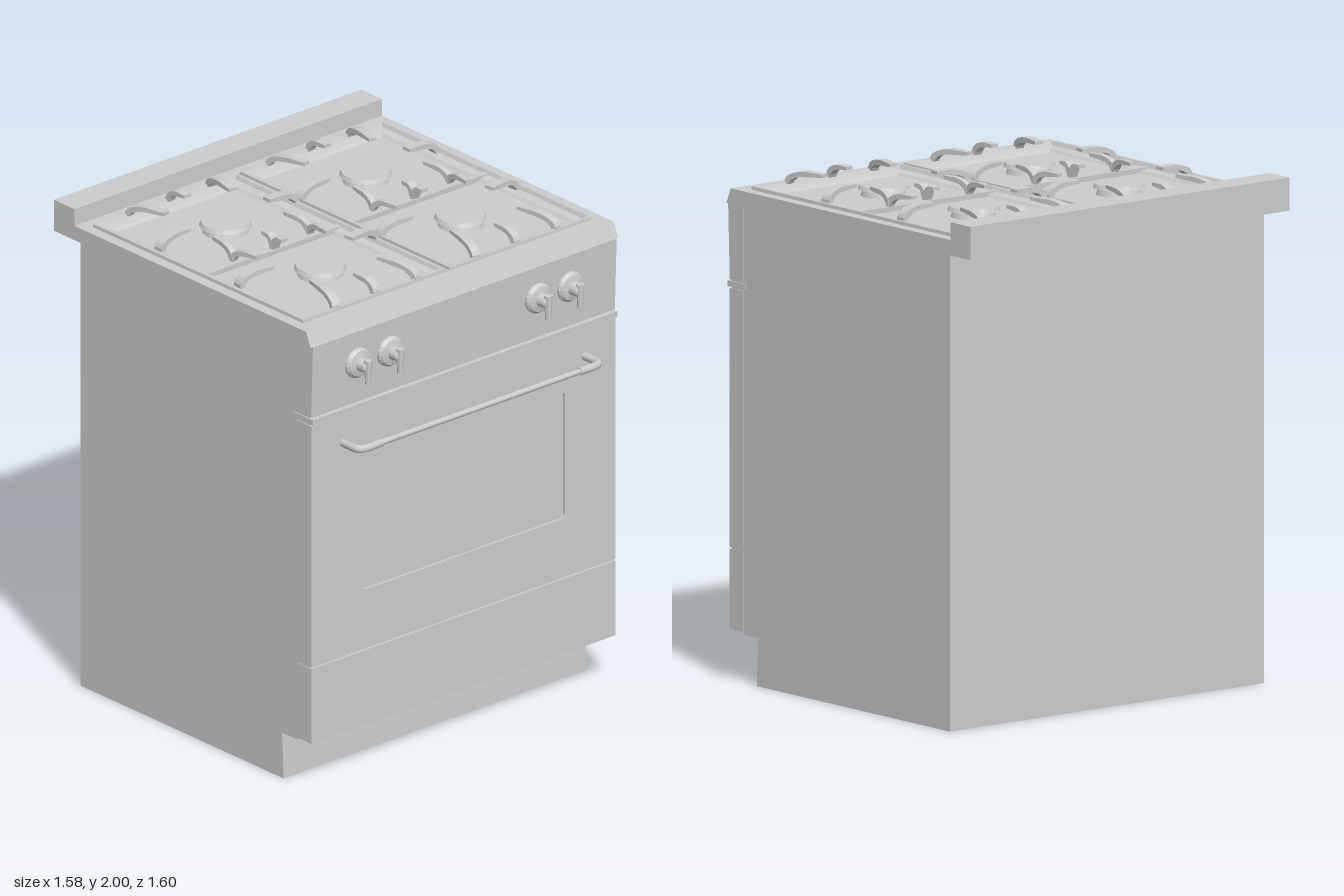
import * as THREE from 'three';

const grey = new THREE.MeshStandardMaterial({ color: 0xcccccc, flatShading: true });
const smooth = new THREE.MeshStandardMaterial({ color: 0xcccccc });
const V = (x, y, z) => new THREE.Vector3(x, y, z);

function add(parent, name, geometry, x = 0, y = 0, z = 0, material = grey) {
  const mesh = new THREE.Mesh(geometry, material);
  mesh.name = name;
  mesh.position.set(x, y, z);
  parent.add(mesh);
  return mesh;
}

// Box given by its limits
function span(parent, name, x0, x1, y0, y1, z0, z1) {
  return add(parent, name, new THREE.BoxGeometry(x1 - x0, y1 - y0, z1 - z0),
    (x0 + x1) / 2, (y0 + y1) / 2, (z0 + z1) / 2);
}

// Side profile in (z, y), extruded across the width
function profile(points, width) {
  const shape = new THREE.Shape(points.map(([z, y]) => new THREE.Vector2(z, y)));
  return new THREE.ExtrudeGeometry(shape, { depth: width, bevelEnabled: false })
    .rotateY(-Math.PI / 2).translate(width / 2, 0, 0);
}

function rect(Type, x0, x1, y0, y1, r = 0.001) {
  const s = new Type();
  s.moveTo(x0 + r, y0);
  s.lineTo(x1 - r, y0).quadraticCurveTo(x1, y0, x1, y0 + r);
  s.lineTo(x1, y1 - r).quadraticCurveTo(x1, y1, x1 - r, y1);
  s.lineTo(x0 + r, y1).quadraticCurveTo(x0, y1, x0, y1 - r);
  s.lineTo(x0, y0 + r).quadraticCurveTo(x0, y0, x0 + r, y0);
  return s;
}

// Sunken basin lofted through nested rectangles [inset, height]
function basin(x0, x1, z0, z1, rings) {
  const pos = [], idx = [];
  for (const [i, y] of rings) {
    pos.push(x0 + i, y, z0 + i, x0 + i, y, z1 - i, x1 - i, y, z1 - i, x1 - i, y, z0 + i);
  }
  for (let r = 0; r < rings.length - 1; r++) {
    for (let k = 0; k < 4; k++) {
      const a = r * 4 + k, b = r * 4 + (k + 1) % 4;
      idx.push(a, b, b + 4, a, b + 4, a + 4);
    }
  }
  const f = (rings.length - 1) * 4;
  idx.push(f, f + 1, f + 2, f, f + 2, f + 3);
  const g = new THREE.BufferGeometry();
  g.setAttribute('position', new THREE.Float32BufferAttribute(pos, 3));
  g.setIndex(idx);
  const flat = g.toNonIndexed();
  flat.computeVertexNormals();
  return flat;
}

// Curved grate finger rising from its foot (fx, fz) to its tip (tx, tz)
function finger(parent, fx, fz, tx, tz, width = 0.034) {
  const L = Math.hypot(tx - fx, tz - fz);
  const s = new THREE.Shape();
  s.moveTo(0, 1.935);
  s.lineTo(0.018, 1.935);
  s.quadraticCurveTo(0.03, 1.967, L * 0.5, 1.972);
  s.lineTo(L, 1.979);
  s.lineTo(L, 1.992);
  s.lineTo(L * 0.55, 1.993);
  s.quadraticCurveTo(0.01, 1.985, 0, 1.95);
  const g = new THREE.ExtrudeGeometry(s, { depth: width, bevelEnabled: false, curveSegments: 5 })
    .translate(0, 0, -width / 2);
  add(parent, 'grateFinger', g, fx, 0, fz).rotation.y = Math.atan2(fz - tz, tx - fx);
}

function makeKnob(parent, x) {
  const knob = new THREE.Group();
  knob.name = 'knob';
  knob.position.set(x, 1.74, 0.685);
  parent.add(knob);
  const pts = [[0, 0], [0.062, 0], [0.062, 0.012], [0.052, 0.024], [0.028, 0.03],
    [0.024, 0.065], [0.018, 0.072], [0, 0.072]].map(p => new THREE.Vector2(...p));
  add(knob, 'knobDial', new THREE.LatheGeometry(pts, 20).rotateX(Math.PI / 2));
  add(knob, 'knobLever', new THREE.CylinderGeometry(0.017, 0.012, 0.1, 8), 0, -0.02, 0.068);
}

export function createModel() {
  const stove = new THREE.Group();
  stove.name = 'stove';

  // Cabinet with toe kick, and front panels
  add(stove, 'cabinet', profile([[-0.66, 0], [0.52, 0], [0.51, 0.19], [0.6, 0.19],
    [0.6, 0.2], [0.67, 0.21], [0.67, 1.87], [-0.66, 1.87]], 1.555));
  span(stove, 'drawer', -0.78, 0.78, 0.2, 0.515, 0.6, 0.685);
  add(stove, 'controlPanel', profile([[0.6, 1.57], [0.682, 1.57], [0.692, 1.87], [0.6, 1.87]], 1.56));
  span(stove, 'panelTrim', -0.782, 0.782, 1.542, 1.565, 0.585, 0.694);

  // Oven door with recessed window
  const door = rect(THREE.Shape, -0.78, 0.78, 0.521, 1.536);
  door.holes.push(rect(THREE.Path, -0.52, 0.52, 0.77, 1.3, 0.02));
  add(stove, 'ovenDoor', new THREE.ExtrudeGeometry(door, { depth: 0.085, bevelEnabled: false }), 0, 0, 0.6);
  span(stove, 'ovenWindow', -0.53, 0.53, 0.76, 1.31, 0.61, 0.675);

  // Door handle
  add(stove, 'handleBar', new THREE.CylinderGeometry(0.012, 0.012, 1.1, 10).rotateZ(Math.PI / 2), 0, 1.422, 0.783, smooth);
  for (const s of [-1, 1]) {
    const path = new THREE.CatmullRomCurve3([V(s * 0.62, 1.422, 0.68), V(s * 0.621, 1.422, 0.73),
      V(s * 0.617, 1.422, 0.77), V(s * 0.59, 1.422, 0.783), V(s * 0.51, 1.422, 0.783)]);
    add(stove, 'handlePost', new THREE.TubeGeometry(path, 14, 0.016, 10), 0, 0, 0, smooth);
    add(stove, 'handleCollar', new THREE.CylinderGeometry(0.016, 0.016, 0.004, 10).rotateZ(Math.PI / 2), s * 0.51, 1.422, 0.783);
  }

  for (const x of [-0.55, -0.385, 0.375, 0.54]) makeKnob(stove, x);

  // Cooktop slab, sloped front lip and backguard
  const wells = [[-0.745, -0.008], [0.008, 0.745]];
  const deck = rect(THREE.Shape, -0.79, 0.79, -0.66, 0.8);
  for (const [a, b] of wells) deck.holes.push(rect(THREE.Path, a, b, -0.595, 0.625));
  add(stove, 'cooktop', new THREE.ExtrudeGeometry(deck, { depth: 0.06, bevelEnabled: false })
    .rotateX(-Math.PI / 2), 0, 1.87, 0);
  add(stove, 'cooktopLip', profile([[0.655, 1.87], [0.69, 1.87], [0.664, 1.93], [0.655, 1.93]], 1.58));
  span(stove, 'backguard', -0.79, 0.79, 1.87, 2, -0.8, -0.68);

  // Basins, burners and grates
  for (const [a, b] of wells) {
    add(stove, 'burnerBasin', basin(a, b, -0.625, 0.595,
      [[0, 1.925], [0.002, 1.943], [0.014, 1.943], [0.022, 1.928], [0.055, 1.922], [0.065, 1.912]]));
    span(stove, 'basinDivider', a + 0.015, b - 0.015, 1.91, 1.932, -0.02, 0.005);
    const c = Math.sign(a + b) * 0.36;
    for (const z of [-0.29, 0.26]) {
      add(stove, 'burnerBase', new THREE.CylinderGeometry(0.08, 0.09, 0.03, 24), c, 1.925, z);
      add(stove, 'burnerCap', new THREE.CylinderGeometry(0.094, 0.102, 0.016, 24), c, 1.947, z);
    }

    const grate = new THREE.Group();
    grate.name = 'grate';
    stove.add(grate);
    for (const s of [-1, 1]) {
      const x = c + s * 0.185;
      finger(grate, x + s * 0.025, -0.62, x - s * 0.015, -0.44);
      finger(grate, x + s * 0.025, 0.59, x - s * 0.015, 0.41);
      // Back-to-back fingers over the divider
      for (const d of [-1, 1]) finger(grate, x + s * 0.012, -0.022 - d * 0.009, x - s * 0.005, -0.022 + d * 0.125, 0.026);
      // Fingers from the sides
      finger(grate, c + s * 0.355, -0.28, c + s * 0.205, -0.283, 0.042);
      finger(grate, c + s * 0.355, 0.18, c + s * 0.2, 0.2, 0.042);
    }
    finger(grate, c, -0.62, c, -0.51);
    finger(grate, c, 0.59, c, 0.47);
    for (const d of [-1, 1]) finger(grate, c, -0.005 - d * 0.009, c, -0.005 + d * 0.058);
  }
  return stove;
}
